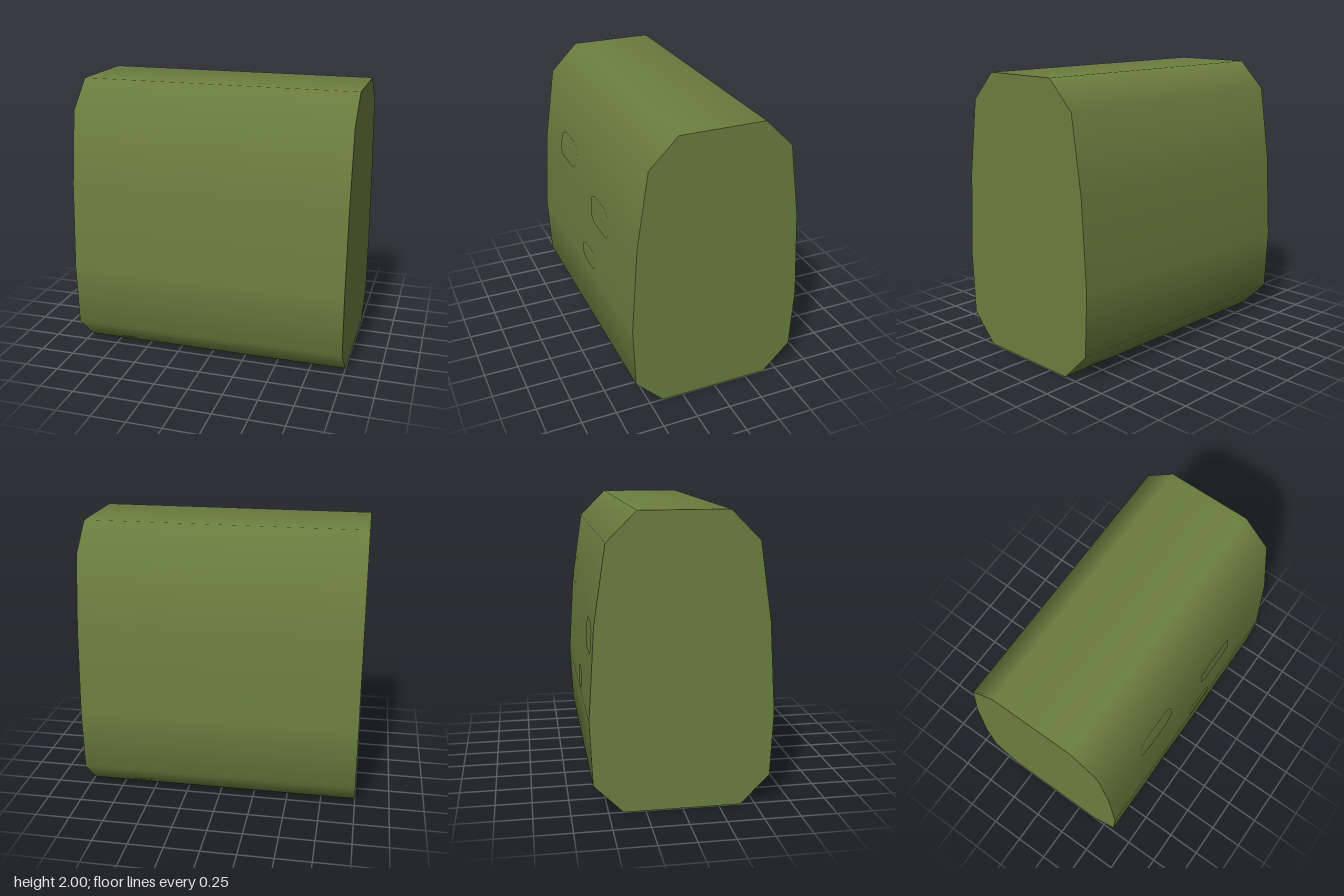
import * as THREE from 'three';

const olive = new THREE.MeshStandardMaterial({ color: 0x6b7f3f });
olive.name = 'olive green';

// Front half of the cross-section as (z, y), bottom to top; the back mirrors it
const side = [[0.4, 0], [0.6, 0.2], [0.62, 0.64], [0.58, 1.27], [0.5, 1.8], [0.3, 2]];
const ring = [...side, ...side.map(([z, y]) => [-z, y]).reverse()];

// Rounded normals (z, y): sum of the two neighbouring edges, weighted by length
const normals = ring.map((_, i) => {
  const a = ring[(i + ring.length - 1) % ring.length];
  const b = ring[(i + 1) % ring.length];
  return new THREE.Vector2(b[1] - a[1], a[0] - b[0]).normalize();
});

// Surface depth and normal of the front side at height y
function sideAt(y) {
  let i = 0;
  while (i < side.length - 2 && y > side[i + 1][1]) i++;
  const t = (y - side[i][1]) / (side[i + 1][1] - side[i][1]);
  return {
    z: THREE.MathUtils.lerp(side[i][0], side[i + 1][0], t),
    normal: normals[i].clone().lerp(normals[i + 1], t).normalize(),
  };
}

// Smooth-shaded wall running along x
function wallGeometry() {
  const position = [], normal = [], index = [];
  ring.forEach(([z, y], i) => {
    const a = i * 2, d = ((i + 1) % ring.length) * 2;
    for (const x of [-1, 1]) {
      position.push(x, y, z);
      normal.push(0, normals[i].y, normals[i].x);
    }
    index.push(a, a + 1, d + 1, a, d + 1, d);
  });
  const g = new THREE.BufferGeometry();
  g.setAttribute('position', new THREE.Float32BufferAttribute(position, 3));
  g.setAttribute('normal', new THREE.Float32BufferAttribute(normal, 3));
  g.setIndex(index);
  return g;
}

// Thin patch hugging the wall just above its surface
function patchGeometry(points, shift) {
  const shape = new THREE.Shape(points.map(([x, y]) => new THREE.Vector2(x + shift, y)));
  const g = new THREE.ShapeGeometry(shape);
  const p = g.attributes.position, n = g.attributes.normal;
  for (let i = 0; i < p.count; i++) {
    const s = sideAt(p.getY(i));
    p.setZ(i, s.z + 0.005);
    n.setXYZ(i, 0, s.normal.y, s.normal.x);
  }
  return g;
}

// Eight-cornered patch outlines, with the sideways shift each has on the back
const patches = [
  { back: -0.32, points: [[-0.54, 1.275], [-0.31, 1.275], [-0.24, 1.31], [-0.24, 1.43],
    [-0.31, 1.47], [-0.53, 1.47], [-0.605, 1.43], [-0.615, 1.31]] },
  { back: 0.43, points: [[0.205, 1.06], [0.43, 1.06], [0.505, 1.1], [0.495, 1.23],
    [0.42, 1.27], [0.21, 1.27], [0.14, 1.235], [0.14, 1.1]] },
  { back: 0.13, points: [[0.04, 0.68], [0.21, 0.68], [0.255, 0.71], [0.25, 0.785],
    [0.2, 0.815], [0.04, 0.815], [-0.01, 0.785], [-0.01, 0.71]] },
];

export function createModel() {
  const model = new THREE.Group();
  model.name = 'block';
  const add = (name, geometry) => {
    const mesh = new THREE.Mesh(geometry, olive);
    mesh.name = name;
    model.add(mesh);
    return mesh;
  };

  add('wall', wallGeometry());

  // Flat ends
  const section = new THREE.Shape(ring.map(([z, y]) => new THREE.Vector2(z, y)));
  for (const s of [-1, 1]) {
    const end = add(s > 0 ? 'leftEnd' : 'rightEnd', new THREE.ShapeGeometry(section));
    end.rotation.y = s * Math.PI / 2;
    end.position.x = s;
  }

  // Surface patches, front and back
  patches.forEach(({ points, back }, i) => {
    add(`frontPatch${i + 1}`, patchGeometry(points, 0));
    add(`backPatch${i + 1}`, patchGeometry(points, back)).rotation.y = Math.PI;
  });

  return model;
}
